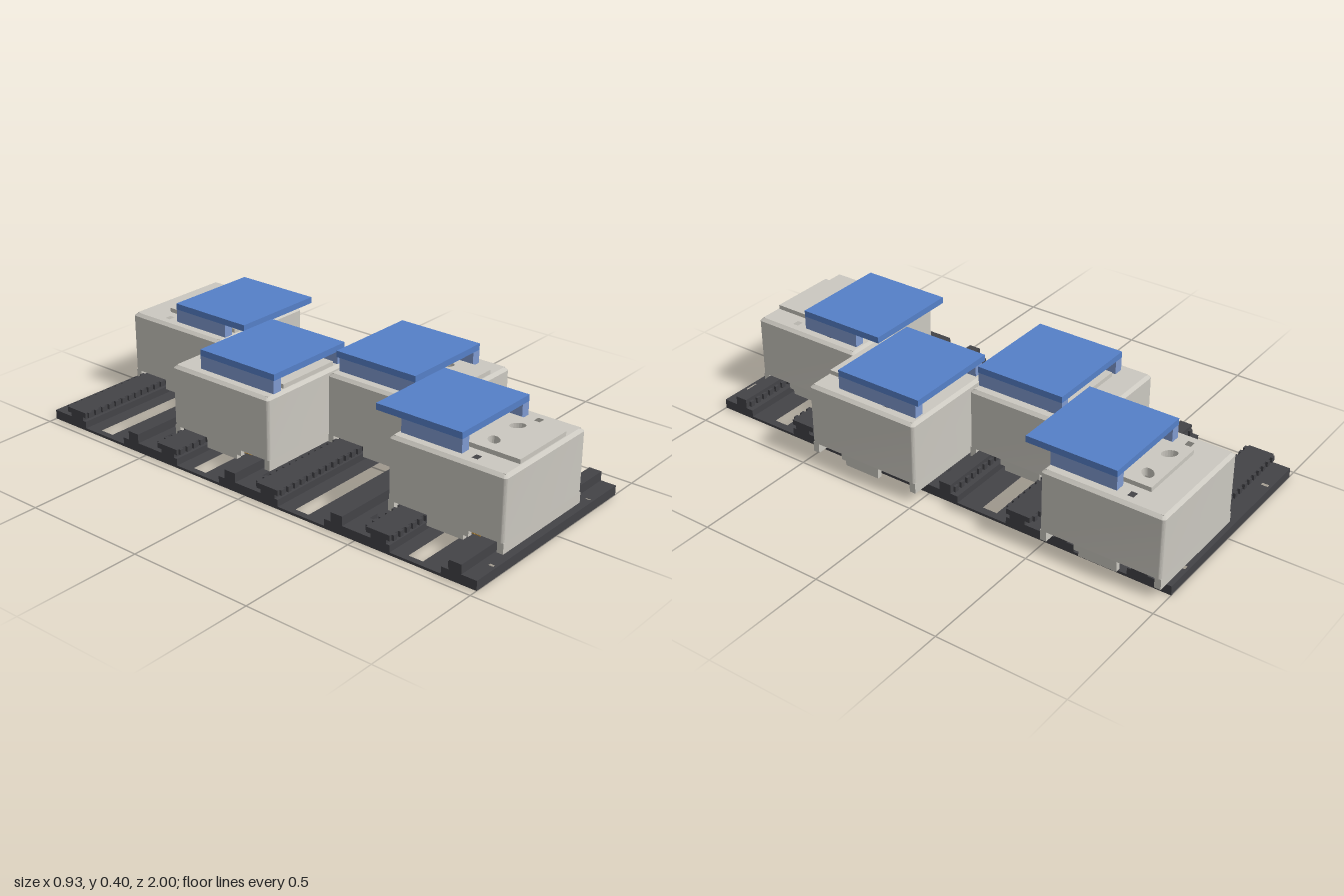
import * as THREE from 'three';
import { mergeGeometries, toCreasedNormals } from 'three/addons/utils/BufferGeometryUtils.js';

const mat = (name, color) => Object.assign(new THREE.MeshStandardMaterial({ color }), { name });

export function createModel() {
  const housing = mat('warm grey housing', 0xcbc8c0);
  const shell = mat('warm grey shell', 0xcbc8c0);
  shell.side = THREE.DoubleSide;
  const dark = mat('charcoal', 0x434347);
  const blue = mat('blue cap', 0x5580c8);
  const paleBlue = mat('pale blue legs', 0x7f9ad0);
  const gold = mat('gold contacts', 0xc8953c);

  const add = (parent, name, geometry, material) => {
    const m = new THREE.Mesh(geometry, material);
    m.name = name;
    parent.add(m);
    return m;
  };
  // Box given by its limits
  const block = (x0, x1, y0, y1, z0, z1) =>
    new THREE.BoxGeometry(x1 - x0, y1 - y0, z1 - z0)
      .translate((x0 + x1) / 2, (y0 + y1) / 2, (z0 + z1) / 2);
  const rectPath = (x0, x1, z0, z1, Type = THREE.Path) =>
    new Type([[x0, -z0], [x1, -z0], [x1, -z1], [x0, -z1]].map(p => new THREE.Vector2(...p)));
  // Horizontal slab with holes, drawn in x and -z
  const slab = (x0, x1, z0, z1, y0, y1, holes) => {
    const s = rectPath(x0, x1, z0, z1, THREE.Shape);
    s.holes.push(...holes);
    return new THREE.ExtrudeGeometry(s, { depth: y1 - y0, bevelEnabled: false, curveSegments: 10 })
      .rotateX(-Math.PI / 2).translate(0, y0, 0);
  };

  const model = new THREE.Group();
  model.name = 'modularSwitchPanel';
  const X0 = -0.465, X1 = 0.385, pitch = 0.4925;
  const centres = [-1.5, -0.5, 0.5, 1.5].map(k => k * pitch);

  // Base: thin floor with slots, raised lands between the recesses
  const base = new THREE.Group();
  base.name = 'base';
  model.add(base);
  const screwHoles = k => [-0.335, 0.255].flatMap(x => {
    if (Math.abs(k) === 2) {
      const z = Math.sign(k) * 0.967;
      return [rectPath(x - 0.025, x + 0.025, z - 0.022, z + 0.022)];
    }
    return [-0.027, 0, 0.027].map(d =>
      rectPath(x - 0.025, x + 0.025, k * pitch + d - 0.01, k * pitch + d + 0.01));
  });
  const joints = [-2, -1, 0, 1, 2];
  const slots = centres.map(c => rectPath(-0.44, 0.355, c - 0.03, c + 0.03));
  add(base, 'baseFloor', slab(X0, X1, -1, 1, 0, 0.01, [...joints.flatMap(screwHoles), ...slots]), dark);
  joints.forEach((k, i) => {
    const z0 = i === 0 ? -1 : centres[i - 1] + 0.12;
    const z1 = i === 4 ? 1 : centres[i] - 0.09;
    add(base, 'baseLand', slab(X0, X1, z0, z1, 0.01, 0.037, screwHoles(k)), dark);
  });

  // Mounting rails: a plain rib and a T-shaped toothed rail for each row
  for (const c of centres) {
    const parts = [
      block(X0, X1, 0.037, 0.073, c + 0.15, c + 0.2),
      block(X0, X1, 0.037, 0.052, c - 0.17, c - 0.105),
      block(X0, X1, 0.052, 0.073, c - 0.19, c - 0.09),
    ];
    for (let x = X0 + 0.01; x < X1 - 0.02; x += 0.035) {
      parts.push(block(x, x + 0.018, 0.052, 0.073, c - 0.2, c - 0.08));
      parts.push(block(x, x + 0.018, 0.037, 0.06, c + 0.14, c + 0.16));
    }
    add(base, 'toothedRails', mergeGeometries(parts), dark);
  }

  // Rounded-square outline, swept through levels of [half width, height]
  const H = 0.2375;
  const outline = h => {
    const r = 0.012, pts = [];
    [[1, 1], [-1, 1], [-1, -1], [1, -1]].forEach(([sx, sz], q) => {
      for (let i = 0; i <= 4; i++) {
        const a = (q + i / 4) * Math.PI / 2;
        pts.push([sx * (h - r) + r * Math.cos(a), sz * (h - r) + r * Math.sin(a)]);
      }
    });
    return pts;
  };
  const loft = levels => {
    const pos = [], index = [], n = 20;
    levels.forEach(([h, y], j) => {
      outline(h).forEach(([x, z]) => pos.push(x, y, z));
      if (j) for (let i = 0; i < n; i++) {
        const a = (j - 1) * n + i, b = (j - 1) * n + (i + 1) % n;
        index.push(a, a + n, b, b, a + n, b + n);
      }
    });
    const g = new THREE.BufferGeometry();
    g.setAttribute('position', new THREE.Float32BufferAttribute(pos, 3));
    g.setIndex(index);
    g.computeVertexNormals();
    return toCreasedNormals(g, 0.6);
  };

  // Four-fold hole patterns in the lid
  const quad = fn => [[-1, -1], [1, -1], [-1, 1], [1, 1]].map(([sx, sz]) => fn(sx, sz));
  const pegHoles = () => quad((sx, sz) => {
    const p = new THREE.Path();
    p.absellipse(sx * 0.07, -sz * 0.073, 0.03, 0.021, 0, Math.PI * 2, false, -sx * sz * Math.PI / 4);
    return p;
  });
  const squareHoles = () => quad((sx, sz) => {
    const x = sx * 0.184, z = sz * 0.085;
    return rectPath(x - 0.014, x + 0.014, z - 0.012, z + 0.012);
  });

  // One switch module; capZ is the cap's offset, legs stop at the housing's edge
  const switchModule = (x, z, capZ) => {
    const g = new THREE.Group();
    g.name = 'switchModule';
    g.position.set(x, 0, z);
    model.add(g);

    add(g, 'housingWalls', loft([[H, 0.078], [H, 0.313], [H - 0.012, 0.325]]), shell);
    const h = H - 0.012;
    add(g, 'housingLid', slab(-h, h, -h, h, 0.31, 0.325, [...pegHoles(), ...squareHoles()]), housing);
    add(g, 'raisedPanel', slab(-0.1375, 0.1375, -0.1275, 0.2225, 0.325, 0.342, pegHoles()), housing);

    // Skirt below the walls, notched at both sides for the rails
    const skirt = [];
    for (const s of [-1, 1]) {
      const z0 = s * (H - 0.0125);
      skirt.push(block(-H + 0.003, H - 0.003, 0.037, 0.078, z0 - 0.0125, z0 + 0.0125));
      const xs = s * (H - 0.01);
      skirt.push(block(xs - 0.01, xs + 0.01, 0.037, 0.078, -0.07, 0.08));
      skirt.push(block(xs - 0.01, xs + 0.01, 0.055, 0.078, 0.08, 0.1));
    }
    add(g, 'notchedSkirt', mergeGeometries(skirt), housing);

    // Circuit board and spring contacts
    add(g, 'circuitBoard', block(-H + 0.005, H - 0.005, 0.079, 0.085, -H + 0.005, H - 0.005), dark);
    add(g, 'connectorBody', block(-0.17, 0.17, 0.038, 0.079, -0.085, 0.085), dark);
    const pins = [];
    for (let i = 0; i < 14; i++) {
      const pz = -0.082 + i * 0.0126;
      for (const px of [-0.11, 0.03, 0.12]) pins.push(block(px - 0.035, px + 0.035, 0.011, 0.038, pz - 0.0045, pz + 0.0045));
    }
    add(g, 'contactPins', mergeGeometries(pins), gold);

    // Push cap on two side legs
    add(g, 'cap', block(-0.1965, 0.1965, 0.377, 0.402, capZ - 0.18, capZ + 0.18), blue);
    const l0 = Math.max(capZ - 0.18, -H + 0.02), l1 = Math.min(capZ + 0.18, H - 0.01);
    for (const s of [-1, 1]) {
      const lx = s * 0.1765;
      add(g, 'capLeg', block(lx - 0.0195, lx + 0.0195, 0.325, 0.377, l0, l1), paleBlue);
    }
  };
  switchModule(0.188, -0.7425, 0.1475);
  switchModule(-0.0865, -0.2475, 0.05);
  switchModule(0.2235, 0.2425, -0.05);
  switchModule(-0.0415, 0.7325, -0.1465);

  return model;
}
